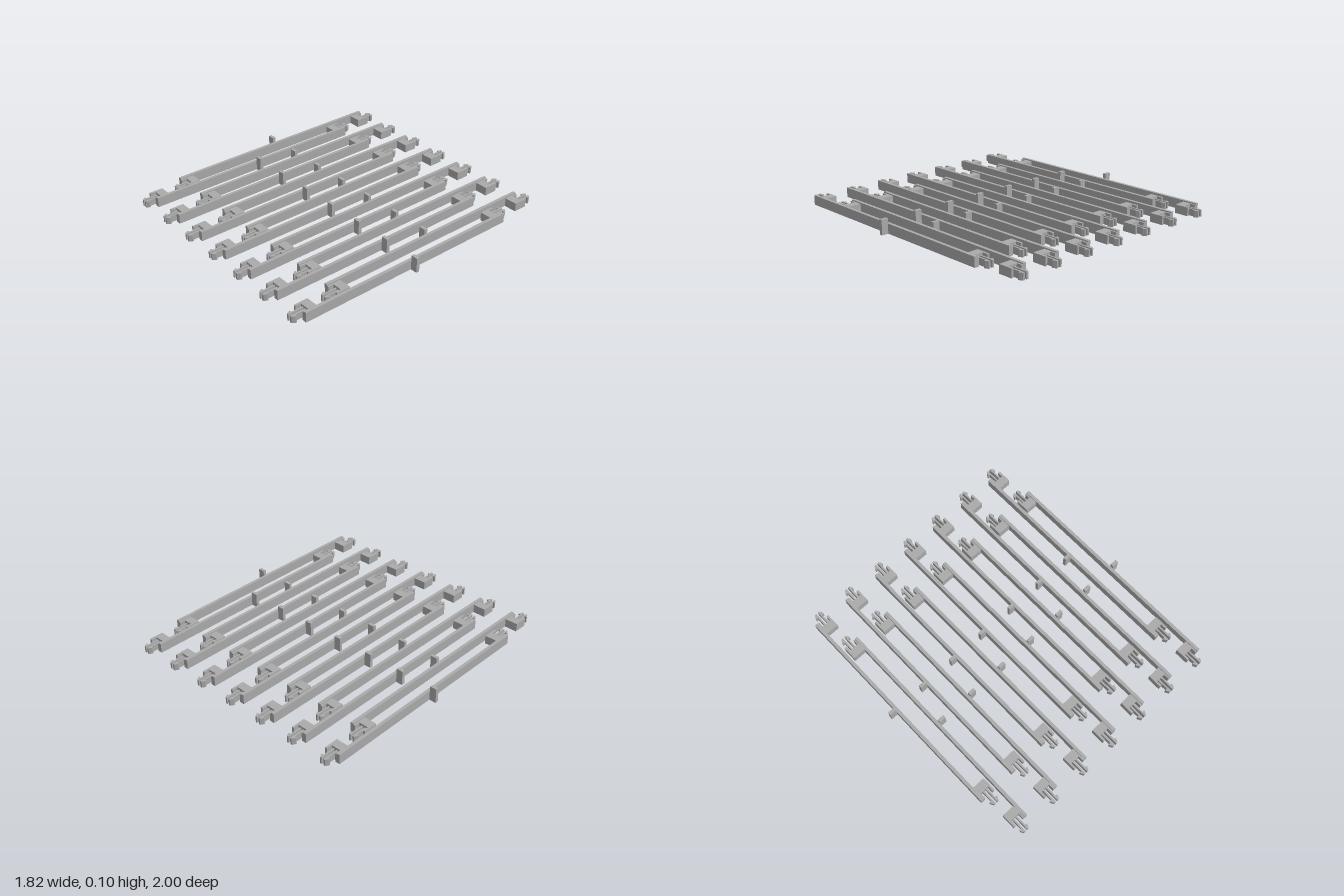
import * as THREE from 'three';

const PAIRS = 7, PITCH = 0.2627;
const grey = new THREE.MeshStandardMaterial({ color: 0xaaaaaa });
grey.name = 'plain grey';

// Box given by its limits on each axis
function box(name, x0, x1, y0, y1, z0, z1) {
  const g = new THREE.BoxGeometry(x1 - x0, y1 - y0, Math.abs(z1 - z0));
  g.translate((x0 + x1) / 2, (y0 + y1) / 2, (z0 + z1) / 2);
  const m = new THREE.Mesh(g, grey);
  m.name = name;
  return m;
}

// Barbed snap prong; side is the outward x direction, dir the z direction it points
function prong(side, dir) {
  const pts = [
    [0.007, 0.765], [0.018, 0.765], [0.018, 0.845], [0.031, 0.845],
    [0.031, 0.852], [0.019, 0.873], [0.007, 0.873],
  ].map(([x, z]) => new THREE.Vector2(-0.008 + x * side, -z * dir));
  const g = new THREE.ExtrudeGeometry(new THREE.Shape(pts), { depth: 0.045, bevelEnabled: false });
  g.rotateX(-Math.PI / 2);
  const m = new THREE.Mesh(g, grey);
  m.name = 'snapProng';
  return m;
}

// End block with two guard arms and a pair of prongs
function endFitting(dir) {
  const fitting = new THREE.Group();
  fitting.name = dir > 0 ? 'frontFitting' : 'backFitting';
  fitting.add(
    box('endBlock', -0.054, 0.036, 0, 0.058, 0.71 * dir, 0.768 * dir),
    box('outerArm', 0.021, 0.036, 0, 0.058, 0.768 * dir, 0.807 * dir),
    box('innerArm', -0.054, -0.042, 0, 0.058, 0.768 * dir, 0.807 * dir),
    prong(1, dir),
    prong(-1, dir),
  );
  return fitting;
}

// One rail with its upright tab and a fitting at each end
function rail() {
  const g = new THREE.Group();
  g.name = 'rail';
  g.add(
    box('bar', -0.075, -0.053, 0, 0.066, -0.807, 0.807),
    box('tab', -0.122, -0.075, 0, 0.1, -0.0115, 0.0115),
    endFitting(1),
    endFitting(-1),
  );
  g.position.z = -0.127;
  return g;
}

export function createModel() {
  const model = new THREE.Group();
  model.name = 'railSet';
  for (let i = 0; i < PAIRS; i++) {
    const pair = new THREE.Group();
    pair.name = 'railPair';
    // The second rail is the first turned half way round
    const turned = new THREE.Group();
    turned.name = 'turnedRail';
    turned.rotation.y = Math.PI;
    turned.add(rail());
    pair.add(rail(), turned);
    pair.position.x = (i - (PAIRS - 1) / 2) * PITCH;
    model.add(pair);
  }
  return model;
}
